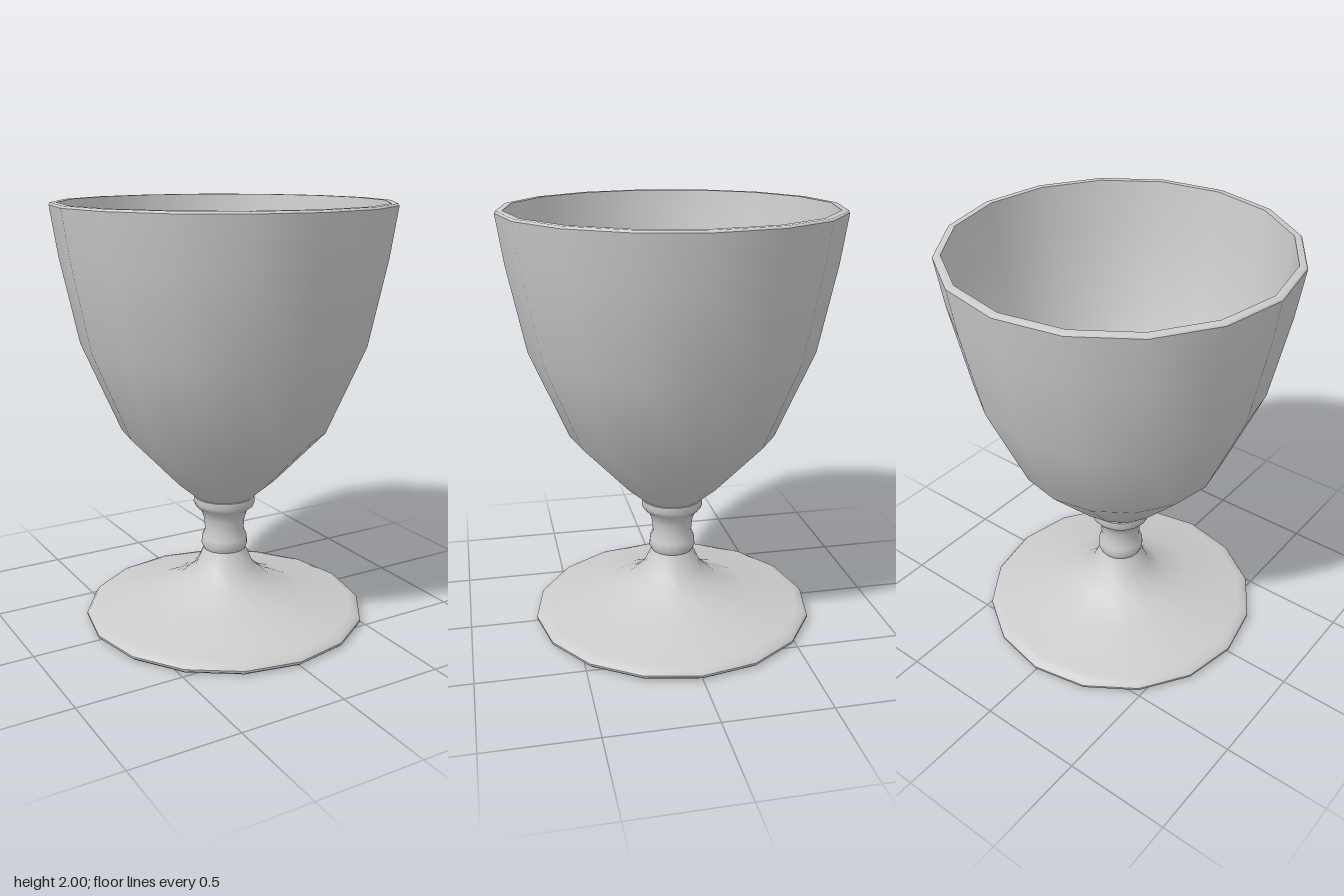
import * as THREE from 'three';

const SIDES = 16;

export function createModel() {
  const goblet = new THREE.Group();
  goblet.name = 'goblet';
  const material = new THREE.MeshStandardMaterial({ color: 0xcccccc });

  // Each part is its own turned profile, so the seams between parts stay sharp
  const turn = (name, profile) => {
    const points = profile.map(([r, y]) => new THREE.Vector2(r, y));
    const mesh = new THREE.Mesh(new THREE.LatheGeometry(points, SIDES), material);
    mesh.name = name;
    goblet.add(mesh);
  };

  // Foot: flat underside, thin edge, flared top
  turn('footUnderside', [[0, 0], [0.665, 0]]);
  turn('footEdge', [[0.665, 0], [0.68, 0.012], [0.68, 0.022]]);
  turn('foot', [
    [0.68, 0.022], [0.665, 0.04], [0.63, 0.05], [0.37, 0.108],
    [0.22, 0.178], [0.143, 0.245], [0.102, 0.335],
  ]);

  // Stem: rounded knop, narrow neck and collar under the bowl
  turn('stem', [
    [0.102, 0.335], [0.113, 0.36], [0.11, 0.395], [0.095, 0.43],
    [0.1, 0.49], [0.113, 0.53], [0.14, 0.553], [0.15, 0.575], [0.149, 0.603],
  ]);
  turn('collarTop', [[0.149, 0.603], [0.14, 0.605]]);

  // Bowl: outer wall, rim and inner wall
  turn('bowlOutside', [
    [0.14, 0.602], [0.243, 0.69], [0.488, 0.948],
    [0.667, 1.365], [0.75, 1.767], [0.783, 1.99],
  ]);
  turn('rim', [[0.783, 1.99], [0.777, 2], [0.748, 2]]);
  turn('bowlInside', [
    [0.748, 2], [0.716, 1.77], [0.634, 1.375], [0.458, 0.968],
    [0.22, 0.72], [0.11, 0.655], [0, 0.635],
  ]);

  return goblet;
}
